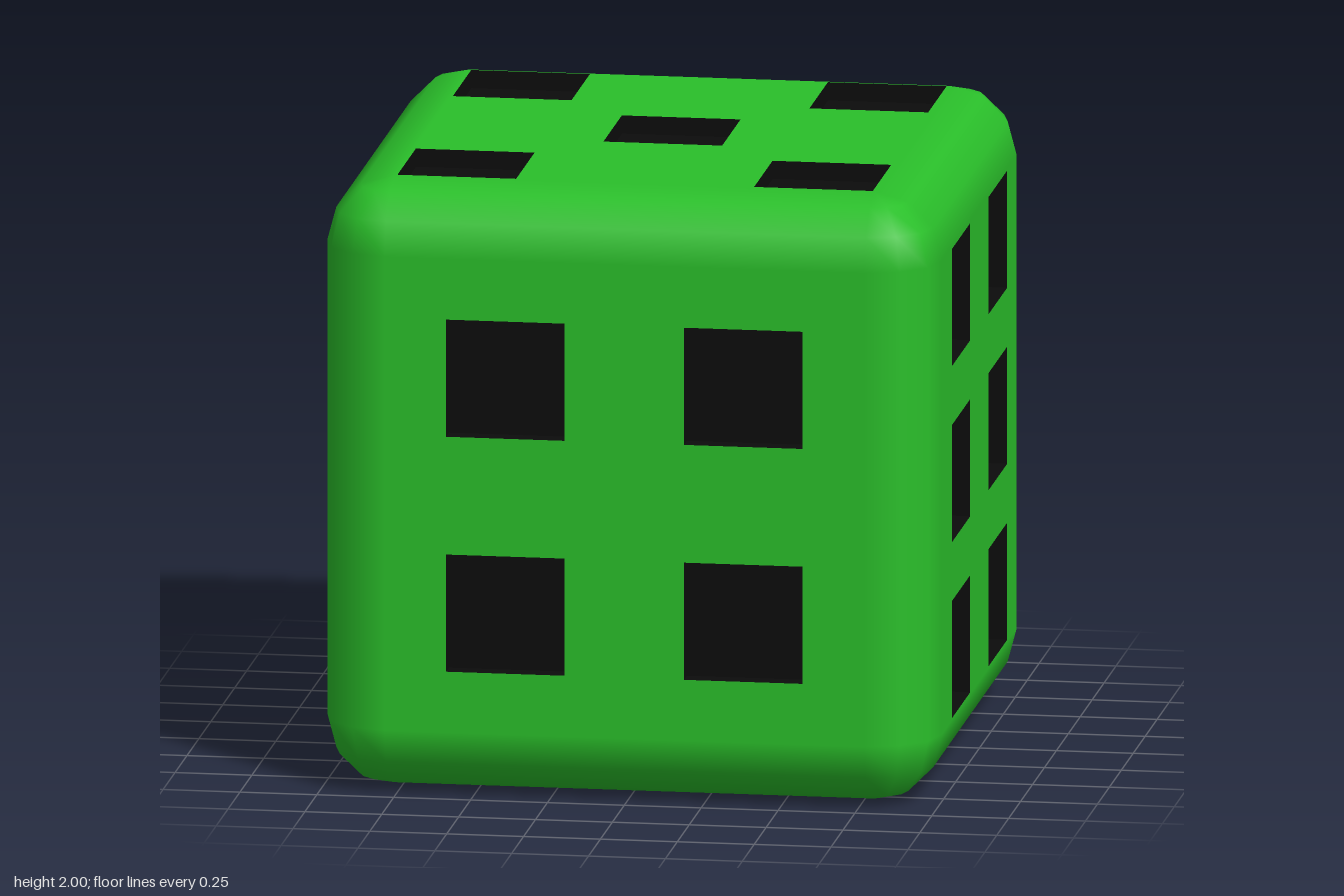
import * as THREE from 'three';
import { mergeGeometries } from 'three/addons/utils/BufferGeometryUtils.js';

const R = 0.22;          // edge rounding
const FLAT = 1 - R;      // half width of each flat face
const PIP = 0.193;       // half width of a square pip
const DEPTH = 0.06;      // pip recess
const Q = Math.PI / 2;

const green = new THREE.MeshStandardMaterial({ color: 0x2abf2a });
const black = new THREE.MeshStandardMaterial({ color: 0x0c0c0c });

// Pip layouts, as centres on a face
const near = 0.387, far = 0.58;
const four = [[-near, -near], [near, -near], [-near, near], [near, near]];
const five = [[0, 0], [-far, -far], [far, -far], [-far, far], [far, far]];
const six = [-far, 0, far].flatMap(y => [[-near, y], [near, y]]);

function square(target, x, y, h) {
  target.moveTo(x - h, y - h);
  target.lineTo(x + h, y - h);
  target.lineTo(x + h, y + h);
  target.lineTo(x - h, y + h);
  target.closePath();
  return target;
}

// Flat face with a square opening for each pip
function plateGeometry(pips) {
  const shape = square(new THREE.Shape(), 0, 0, FLAT);
  for (const [x, y] of pips) shape.holes.push(square(new THREE.Path(), x, y, PIP));
  return new THREE.ShapeGeometry(shape).translate(0, 0, 1);
}

// Recess: a floor and four walls facing inwards
function pipGeometry() {
  const parts = [new THREE.PlaneGeometry(2 * PIP, 2 * PIP).translate(0, 0, -DEPTH)];
  for (let i = 0; i < 4; i++) {
    parts.push(new THREE.PlaneGeometry(2 * PIP, DEPTH)
      .rotateX(Q).translate(0, PIP, -DEPTH / 2).rotateZ(i * Q));
  }
  return mergeGeometries(parts);
}

// Twelve rounded edges and eight rounded corners
function roundingGeometry() {
  const parts = [];
  for (let i = 0; i < 4; i++) {
    const edge = () => new THREE.CylinderGeometry(R, R, 2 * FLAT, 3, 1, true, 0, Q)
      .translate(FLAT, 0, FLAT).rotateY(i * Q);
    parts.push(edge(), edge().rotateX(Q), edge().rotateZ(Q));
    const corner = () => new THREE.SphereGeometry(R, 3, 3, Q, Q, 0, Q)
      .translate(FLAT, FLAT, FLAT).rotateY(i * Q);
    parts.push(corner(), corner().rotateX(Math.PI));
  }
  return mergeGeometries(parts);
}

export function createModel() {
  const model = new THREE.Group();
  model.name = 'die';

  const rounding = new THREE.Mesh(roundingGeometry(), green);
  rounding.name = 'roundedEdges';
  rounding.position.y = 1;
  model.add(rounding);

  const faces = [
    ['frontFace', four, 0, 0], ['backFace', four, 0, Math.PI],
    ['leftFace', six, 0, Q], ['rightFace', six, 0, -Q],
    ['topFace', five, -Q, 0], ['bottomFace', five, Q, 0],
  ];
  const pipGeo = pipGeometry();
  for (const [name, pips, rx, ry] of faces) {
    const face = new THREE.Group();
    face.name = name;
    face.position.y = 1;
    face.rotation.set(rx, ry, 0);
    const plate = new THREE.Mesh(plateGeometry(pips), green);
    plate.name = 'plate';
    face.add(plate);
    for (const [x, y] of pips) {
      const pip = new THREE.Mesh(pipGeo, black);
      pip.name = 'pip';
      pip.position.set(x, y, 1);
      face.add(pip);
    }
    model.add(face);
  }
  return model;
}
